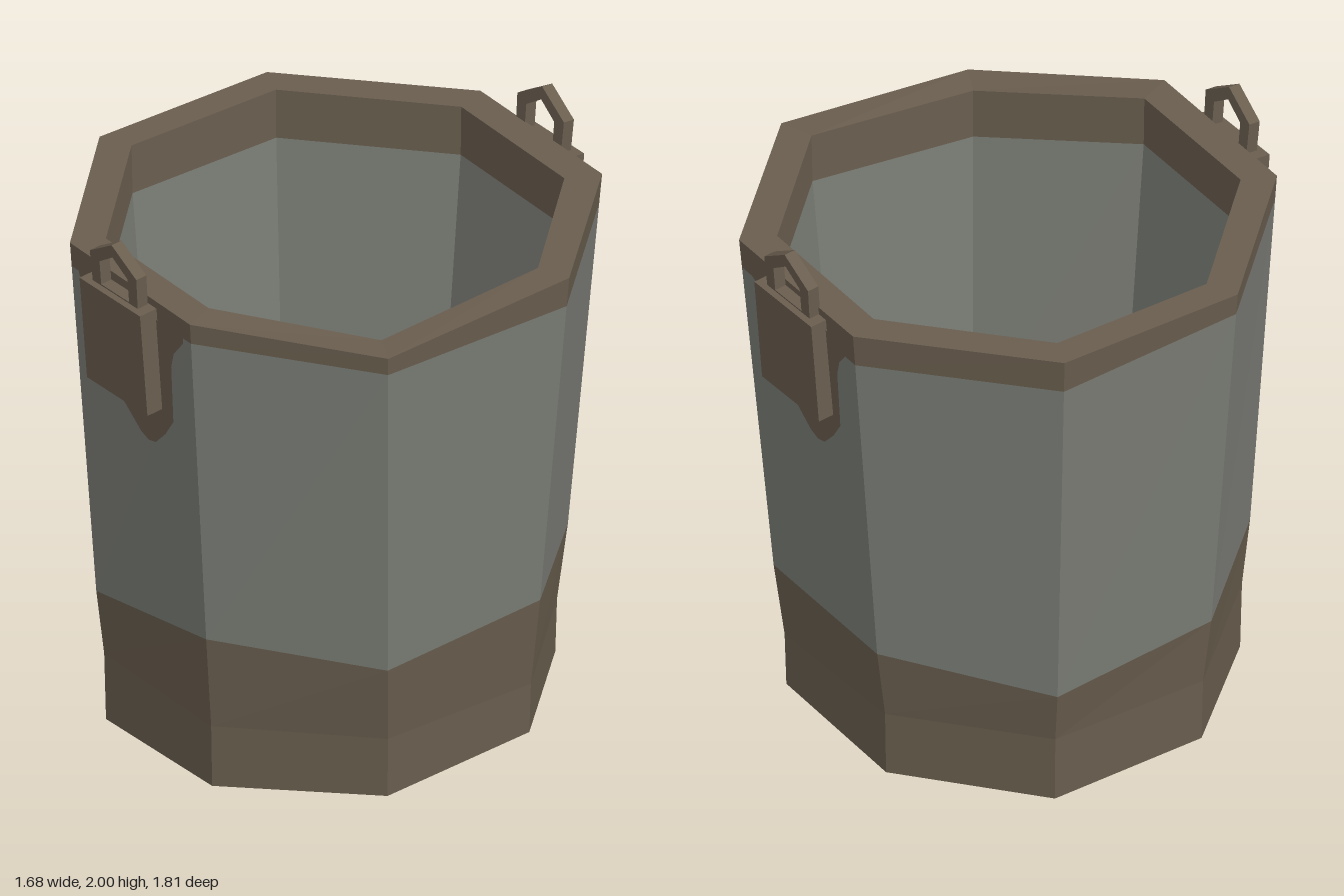
import * as THREE from 'three';

const steel = new THREE.MeshStandardMaterial({ color: 0x7a7c75 });
const rust = new THREE.MeshStandardMaterial({ color: 0x695d4e });
const floorRust = new THREE.MeshStandardMaterial({ color: 0x775842 });
steel.name = 'wornSteel';
rust.name = 'rustBrown';
floorRust.name = 'rustyFloor';

// Eight uneven corners, counterclockwise from above: [x, y, z]
const rim = [[0.32, 1.84, 0.846], [0.815, 1.78, 0.404], [0.84, 1.84, -0.33], [0.363, 1.84, -0.836],
  [-0.315, 1.84, -0.855], [-0.843, 1.84, -0.375], [-0.843, 1.84, 0.322], [-0.35, 1.84, 0.827]];
const foot = [[0.27, 0.02, 0.715], [0.69, 0.03, 0.31], [0.69, 0.065, -0.28], [0.3, 0.05, -0.69],
  [-0.27, 0.015, -0.69], [-0.71, 0.01, -0.32], [-0.71, 0.02, 0.27], [-0.32, 0, 0.7]];
const innerRimXZ = [[0.27, 0.73], [0.704, 0.346], [0.724, -0.29], [0.31, -0.72],
  [-0.27, -0.74], [-0.733, -0.327], [-0.733, 0.274], [-0.3, 0.716]];
const floorXZ = [[0.228, 0.6], [0.589, 0.264], [0.6, -0.24], [0.262, -0.596],
  [-0.22, -0.587], [-0.6, -0.264], [-0.62, 0.23], [-0.28, 0.587]];
const beltY = [0.595, 0.53, 0.58, 0.53, 0.51, 0.44, 0.5, 0.495];
const bandY = [1.765, 1.715, 1.73, 1.73, 1.72, 1.72, 1.76, 1.75];

const mix = (a, b, t) => a + (b - a) * t;
const mixPoint = (a, b, t) => a.map((v, k) => mix(v, b[k], t));

// Outer wall rings
const belt = foot.map((p, i) => {
  const q = mixPoint(p, rim[i], 0.27);
  return [q[0], beltY[i], q[2]];
});
const kink = foot.map(([x, , z]) => [x * 1.008, 0.25, z * 1.008]);
const wallAt = (i, y) => mixPoint(belt[i], rim[i], (y - belt[i][1]) / (rim[i][1] - belt[i][1]));
const band = rim.map((p, i) => wallAt(i, bandY[i]));

// Inner wall rings
const innerRim = innerRimXZ.map(([x, z], i) => [x, rim[i][1], z]);
const innerBand = innerRimXZ.map(([x, z], i) => [x * 0.995, rim[i][1] - 0.18, z * 0.995]);
const floorRing = floorXZ.map(([x, z]) => [x, 0.2, z]);
const innerBelt = floorRing.map((p, i) => {
  const q = mixPoint(p, innerBand[i], 0.2);
  return [q[0], beltY[i] - 0.03, q[2]];
});

function facets(points) {
  const g = new THREE.BufferGeometry();
  g.setAttribute('position', new THREE.Float32BufferAttribute(points.flat(), 3));
  g.computeVertexNormals();
  return g;
}

// Band of quads between two rings
function skin(...rings) {
  const pts = [];
  for (let r = 0; r + 1 < rings.length; r++) {
    const a = rings[r], b = rings[r + 1];
    for (let i = 0; i < 8; i++) {
      const j = (i + 1) % 8;
      pts.push(a[i], a[j], b[j], a[i], b[j], b[i]);
    }
  }
  return facets(pts);
}

// Fan that closes a ring
function cap(ring, up) {
  const centre = [0, 1, 2].map(k => ring.reduce((s, p) => s + p[k], 0) / 8);
  return facets(ring.flatMap((p, i) => {
    const q = ring[(i + 1) % 8];
    return up ? [centre, p, q] : [centre, q, p];
  }));
}

// Rust patch laid on the wall between corners a (left) and b (right); side is 1 front, -1 back
function stain(a, b, side) {
  const outline = [[-0.3, 1.77], [-0.3, 1.74], [-0.22, 1.7], [-0.21, 1.62], [-0.24, 1.41], [-0.18, 1.39],
    [-0.1, 1.36], [0.0, 1.275], [0.04, 1.26], [0.08, 1.27], [0.14, 1.33], [0.19, 1.4],
    [0.2, 1.62], [0.22, 1.68], [0.28, 1.75], [0.28, 1.77]];
  const g = new THREE.ShapeGeometry(new THREE.Shape(outline.map(([x, y]) => new THREE.Vector2(x, y))));
  const pos = g.attributes.position;
  for (let i = 0; i < pos.count; i++) {
    const x = side * pos.getX(i), y = pos.getY(i);
    const p = wallAt(a, y), q = wallAt(b, y);
    pos.setXYZ(i, x, y, mix(p[2], q[2], (x - p[0]) / (q[0] - p[0])) + side * 0.005);
  }
  g.computeVertexNormals();
  return g;
}

// Peaked loop for the carrying handle
function loopGeometry() {
  const v = list => list.map(([x, y]) => new THREE.Vector2(x, y));
  const shape = new THREE.Shape(v([[-0.12, 0.17], [0.12, 0.17], [0.125, 0.31], [0, 0.388], [-0.125, 0.31]]));
  shape.holes.push(new THREE.Path(v([[-0.075, 0.2], [-0.075, 0.29], [0, 0.34], [0.075, 0.29], [0.075, 0.2]])));
  const g = new THREE.ExtrudeGeometry(shape, { depth: 0.042, bevelEnabled: false });
  g.translate(0, 0, -0.03);
  return g;
}

export function createModel() {
  const model = new THREE.Group();
  model.name = 'bucket';
  const add = (name, geometry, material, parent = model) => {
    const mesh = new THREE.Mesh(geometry, material);
    mesh.name = name;
    parent.add(mesh);
    return mesh;
  };

  // Outside
  add('bottom', cap(foot, false), rust);
  add('lowerBelt', skin(foot, kink, belt), rust);
  add('outerWall', skin(belt, band), steel);
  add('rim', skin(band, rim, innerRim, innerBand), rust);

  // Inside
  add('innerWall', skin(innerBand, innerBelt), steel);
  add('innerBelt', skin(innerBelt, floorRing), rust);
  add('floor', cap(floorRing, true), floorRust);

  // Brackets and rust patches, front and back
  for (const side of [1, -1]) {
    const label = side > 0 ? 'front' : 'back';
    add(label + 'Stain', side > 0 ? stain(7, 0, 1) : stain(3, 4, -1), rust);

    const holder = new THREE.Group();
    holder.name = label + 'Bracket';
    holder.rotation.y = side > 0 ? 0 : Math.PI;
    const bracket = new THREE.Group();
    bracket.name = label + 'BracketTilt';
    bracket.position.set(side > 0 ? -0.032 : -0.012, 1.615, 0.857);
    bracket.rotation.x = 0.08;
    add(label + 'BracketPlate', new THREE.BoxGeometry(0.325, 0.39, 0.07), rust, bracket);
    add(label + 'HandleLoop', loopGeometry(), rust, bracket);
    holder.add(bracket);
    model.add(holder);
  }
  return model;
}
